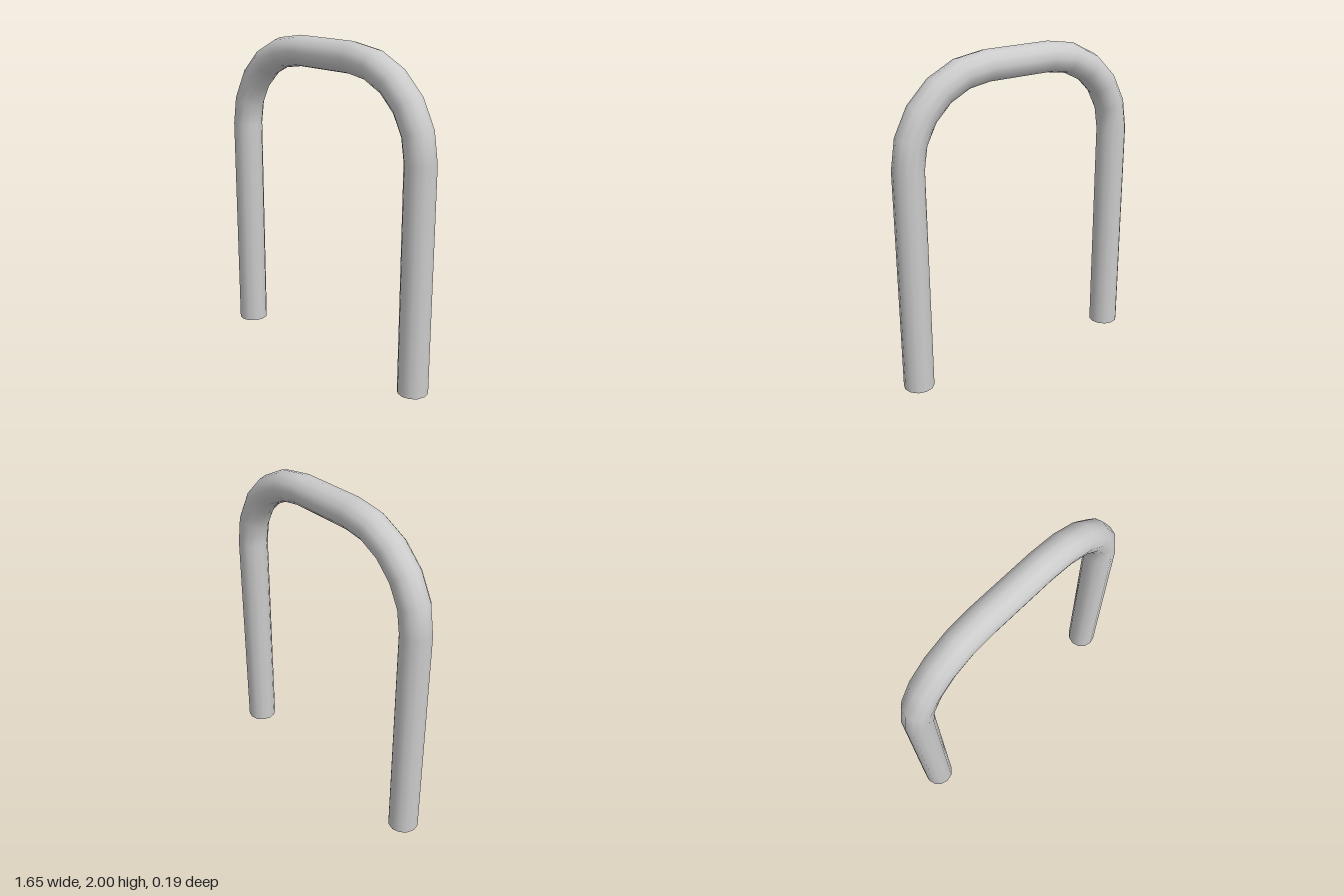
import * as THREE from 'three';

const PIPE_R = 0.093; // pipe radius
const BEND_R = 0.517; // bend radius of the centre line
const BEND_X = 0.213; // bend centre, mirrored in x
const BEND_Y = 1.39;
const SIDES = 12;
const BEND_STEPS = 5;

// Stations along the pipe: centre point and direction of its outer side
function pipeStations() {
  const stations = [{ x: BEND_X + BEND_R, y: 0, angle: 0 }];
  for (const side of [0, 1]) {
    const cx = side === 0 ? BEND_X : -BEND_X;
    for (let i = 0; i <= BEND_STEPS; i++) {
      const angle = (side + i / BEND_STEPS) * Math.PI / 2;
      stations.push({
        x: cx + BEND_R * Math.cos(angle),
        y: BEND_Y + BEND_R * Math.sin(angle),
        angle,
      });
    }
  }
  stations.push({ x: -BEND_X - BEND_R, y: 0, angle: Math.PI });
  return stations;
}

// Round rings joined along the stations, open at both feet
function pipeGeometry(stations) {
  const positions = [], normals = [], index = [];
  const row = SIDES + 1;
  stations.forEach(({ x, y, angle }, s) => {
    for (let i = 0; i <= SIDES; i++) {
      const a = (i / SIDES) * Math.PI * 2;
      const nx = Math.cos(a) * Math.cos(angle);
      const ny = Math.cos(a) * Math.sin(angle);
      const nz = Math.sin(a);
      positions.push(x + PIPE_R * nx, y + PIPE_R * ny, PIPE_R * nz);
      normals.push(nx, ny, nz);
      if (s < stations.length - 1 && i < SIDES) {
        const p = s * row + i;
        index.push(p, p + row, p + 1, p + 1, p + row, p + row + 1);
      }
    }
  });
  const geometry = new THREE.BufferGeometry();
  geometry.setAttribute('position', new THREE.Float32BufferAttribute(positions, 3));
  geometry.setAttribute('normal', new THREE.Float32BufferAttribute(normals, 3));
  geometry.setIndex(index);
  return geometry;
}

export function createModel() {
  const group = new THREE.Group();
  group.name = 'bikeRack';
  const material = new THREE.MeshStandardMaterial({ color: 0xcccccc, side: THREE.DoubleSide });
  const pipe = new THREE.Mesh(pipeGeometry(pipeStations()), material);
  pipe.name = 'bentPipe';
  group.add(pipe);
  return group;
}
